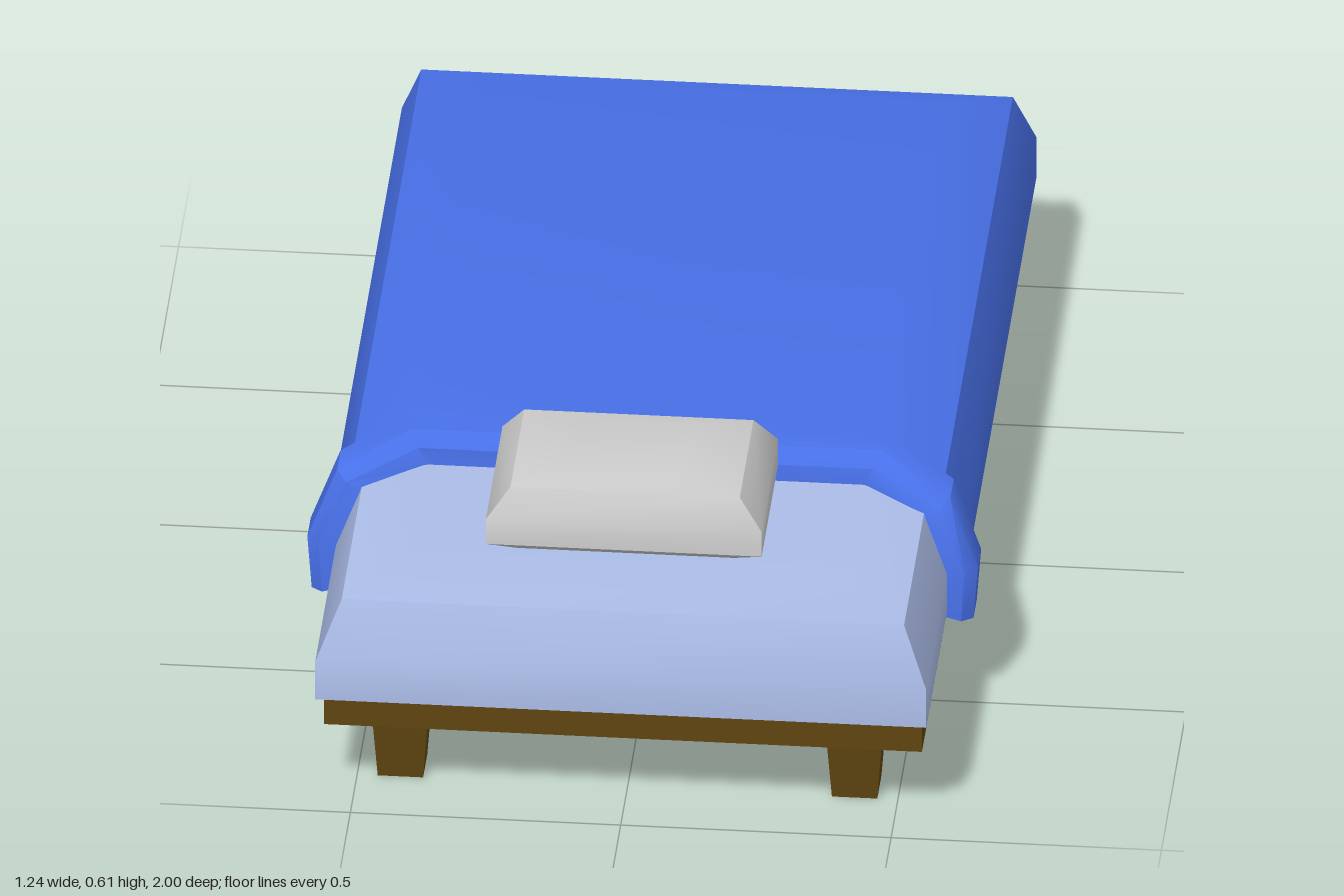
import * as THREE from 'three';
import { toCreasedNormals } from 'three/addons/utils/BufferGeometryUtils.js';

const CREASE = 0.72;

// Skins a series of equal-length rings and caps both ends.
function skin(rings) {
  const n = rings[0].length;
  const out = [];
  const tri = (a, b, c) => out.push(...a, ...b, ...c);
  for (let i = 0; i < rings.length - 1; i++) {
    for (let j = 0; j < n; j++) {
      const k = (j + 1) % n;
      tri(rings[i][j], rings[i][k], rings[i + 1][k]);
      tri(rings[i][j], rings[i + 1][k], rings[i + 1][j]);
    }
  }
  const first = rings[0], last = rings[rings.length - 1];
  for (let j = 1; j < n - 1; j++) {
    tri(first[0], first[j + 1], first[j]);
    tri(last[0], last[j], last[j + 1]);
  }
  const geometry = new THREE.BufferGeometry();
  geometry.setAttribute('position', new THREE.Float32BufferAttribute(out, 3));
  return toCreasedNormals(geometry, CREASE);
}

// Stacks rectangles given as [y, half width, back z, front z].
function stack(levels) {
  return skin(levels.map(([y, x, z0, z1]) => [[-x, y, z0], [-x, y, z1], [x, y, z1], [x, y, z0]]));
}

export function createModel() {
  const group = new THREE.Group();
  const wood = new THREE.MeshStandardMaterial({ color: 0x5e4410 });
  const blue = new THREE.MeshStandardMaterial({ color: 0x4870e8 });
  const paleBlue = new THREE.MeshStandardMaterial({ color: 0xaabbe6 });
  const grey = new THREE.MeshStandardMaterial({ color: 0xcccccc });

  const add = (name, geometry, material, x = 0, y = 0, z = 0) => {
    const mesh = new THREE.Mesh(geometry, material);
    mesh.name = name;
    mesh.position.set(x, y, z);
    group.add(mesh);
  };

  // Frame and four tapered legs
  add('frame', new THREE.BoxGeometry(1.106, 0.08, 1.91), wood, 0, 0.2, 0);
  const leg = stack([[0, 0.042, -0.042, 0.042], [0.162, 0.054, -0.054, 0.054]]);
  for (const [end, z] of [['front', 0.82], ['back', -0.82]]) {
    add(end + 'LeftLeg', leg, wood, 0.42, 0, z);
    add(end + 'RightLeg', leg, wood, -0.42, 0, z);
  }

  // Mattress with bevelled, slightly domed top
  add('mattress', stack([
    [0.239, 0.565, -0.96, 1],
    [0.32, 0.565, -0.96, 1],
    [0.43, 0.52, -0.92, 0.955],
    [0.45, 0.41, -0.82, 0.85],
  ]), paleBlue);

  // Blanket draped over the back of the mattress
  add('blanket', stack([
    [0.237, 0.587, -1, 0.48],
    [0.32, 0.587, -1, 0.48],
    [0.43, 0.547, -0.957, 0.48],
    [0.478, 0.43, -0.845, 0.48],
  ]), blue);

  // Folded blanket edge: stations are [inner x, inner y, outer x, outer y, z]
  const half = [
    [0.56, 0.228, 0.612, 0.214, 0.522],
    [0.562, 0.32, 0.62, 0.322, 0.522],
    [0.52, 0.42, 0.567, 0.455, 0.498],
    [0.4, 0.445, 0.435, 0.511, 0.434],
  ];
  const section = [[0.058, 0], [0.058, 0.6], [0.034, 1], [-0.034, 1], [-0.058, 0.6], [-0.058, 0]];
  const mirrored = half.map(([a, b, c, d, z]) => [-a, b, -c, d, z]).reverse();
  add('blanketFold', skin([...half, ...mirrored].map(([ix, iy, ox, oy, z]) =>
    section.map(([w, u]) => [ix + (ox - ix) * u, iy + (oy - iy) * u, z + w]))), blue);

  // Pillow
  add('pillow', stack([
    [0.449, 0.12, -0.08, 0.08],
    [0.459, 0.2, -0.13, 0.13],
    [0.487, 0.255, -0.168, 0.168],
    [0.54, 0.255, -0.168, 0.168],
    [0.595, 0.212, -0.14, 0.14],
    [0.61, 0.1, -0.09, 0.09],
  ]), grey, -0.01, 0, 0.661);

  return group;
}
